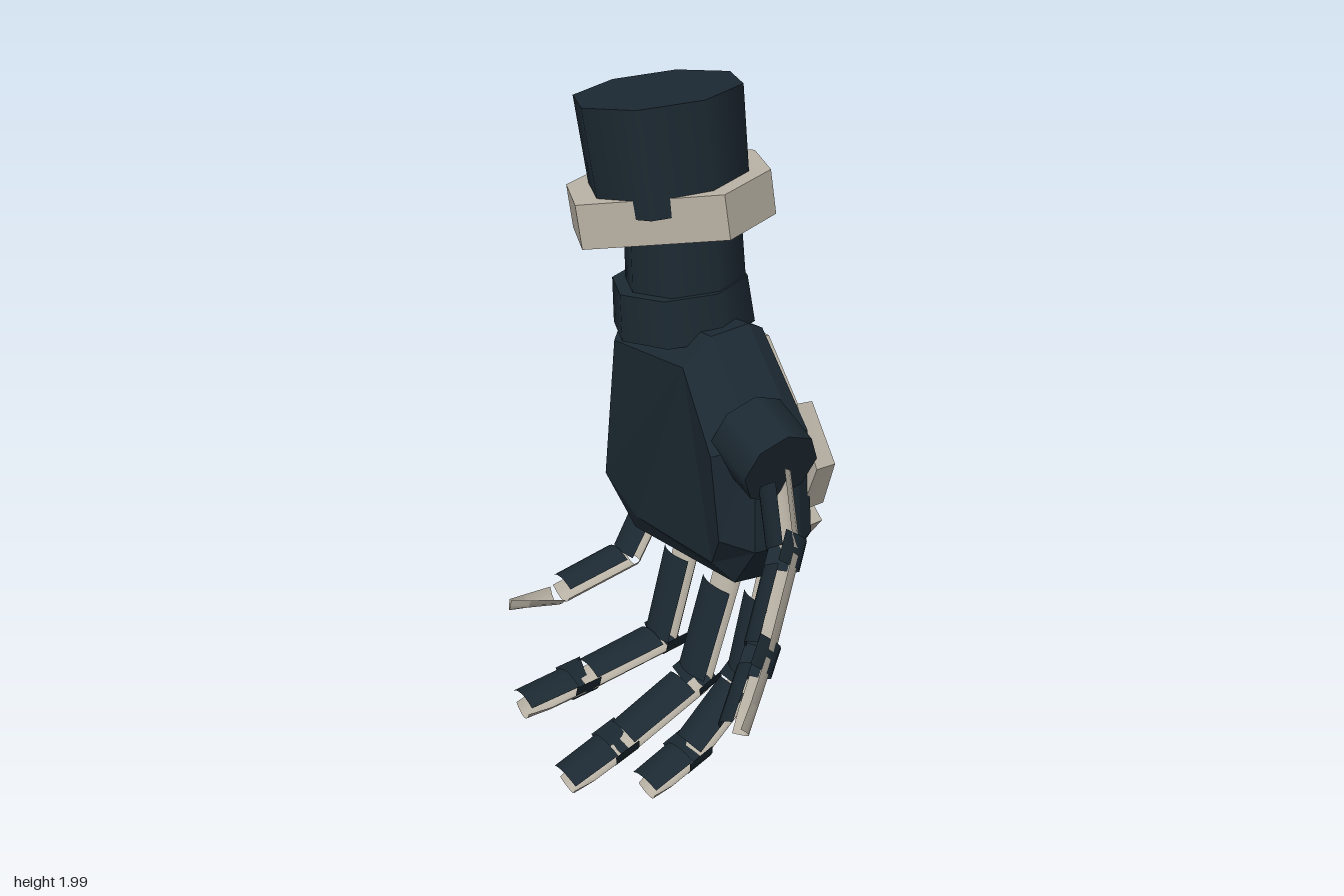
import * as THREE from 'three';

const dark = new THREE.MeshStandardMaterial({ color: 0x1c2932, side: THREE.DoubleSide });
dark.name = 'dark navy';
const bone = new THREE.MeshStandardMaterial({ color: 0xb9b2a5, side: THREE.DoubleSide });
bone.name = 'warm grey';
const V = (x, y, z) => new THREE.Vector3(x, y, z);

function add(parent, name, geometry, material) {
  const mesh = new THREE.Mesh(geometry, material);
  mesh.name = name;
  parent.add(mesh);
  return mesh;
}

function build(points, index) {
  const g = new THREE.BufferGeometry();
  g.setAttribute('position', new THREE.Float32BufferAttribute(points.flatMap(p => p.toArray()), 3));
  g.setIndex(index);
  return g;
}

// Faceted solid through loops that run clockwise seen from +x, ordered from low x to high x
function loft(loops) {
  const n = loops[0].length, idx = [];
  for (let l = 0; l < loops.length - 1; l++)
    for (let i = 0; i < n; i++) {
      const j = (i + 1) % n, a = l * n, b = a + n;
      idx.push(a + i, b + i, b + j, a + i, b + j, a + j);
    }
  const top = (loops.length - 1) * n;
  for (let i = 1; i < n - 1; i++) idx.push(0, i, i + 1, top, top + i + 1, top + i);
  const g = build(loops.flat(), idx).toNonIndexed();
  g.computeVertexNormals();
  return g;
}

// Turns a [z, y] outline into a loop, scaled about its middle, with x given by a rule of y
function loop(outline, scale, xRule) {
  const cz = outline.reduce((s, p) => s + p[0], 0) / outline.length;
  const cy = outline.reduce((s, p) => s + p[1], 0) / outline.length;
  return outline.map(([pz, py]) => {
    const y = cy + (py - cy) * scale;
    return V(xRule(y), y, cz + (pz - cz) * scale);
  });
}

// Curved strip from a to b; it bulges along the back-of-finger direction
function shell(a, b, side, w0, w1, depth, offset) {
  const d = b.clone().sub(a).normalize();
  const s = side.clone().addScaledVector(d, -side.dot(d)).normalize();
  const n = s.clone().cross(d);
  const pts = [], idx = [], steps = 6;
  for (let k = 0; k < 2; k++)
    for (let i = 0; i <= steps; i++) {
      const t = i / steps * 2 - 1;
      pts.push((k ? b : a).clone().addScaledVector(s, t * (k ? w1 : w0) / 2)
        .addScaledVector(n, offset - depth * t * t));
    }
  for (let i = 0; i < steps; i++) {
    const q = i + steps + 1;
    // the palm-side strips (depth below zero) face the other way
    if (depth > 0) idx.push(i, q + 1, i + 1, i, q, q + 1);
    else idx.push(i, i + 1, q + 1, i, q + 1, q);
  }
  const g = build(pts, idx);
  g.computeVertexNormals();
  return g;
}

// Three segments: pale back shells, dark pads and, unless bare, dark joint covers and a tip pad
function finger(parent, name, path, side, width, bare = false) {
  const group = new THREE.Group();
  group.name = name;
  parent.add(group);
  for (let i = 0; i < 3; i++) {
    const a = path[i], b = path[i + 1], last = i === 2;
    const at = t => a.clone().lerp(b, t);
    const w = width * (1 - i * 0.04);
    if (last) {
      const mid = w * (bare ? 0.4 : 0.9), end = w * (bare ? 0.1 : 0.65);
      add(group, 'tipShell', shell(at(0.04), at(0.65), side, w * 0.9, mid, 0.035, 0), bone);
      add(group, 'fingertip', shell(at(0.65), b, side, mid, end, 0.035, 0), bone);
    } else add(group, 'backShell', shell(at(0.04), at(0.94), side, w * 0.95, w * 0.9, 0.035, 0), bone);
    if (!last || !bare)
      add(group, 'pad', shell(at(0.18), at(last ? 0.97 : 0.9), side, w, w * 0.95, -0.02, -0.085), dark);
    if (i > 0 && !bare) {
      const len = a.distanceTo(b);
      add(group, 'jointCover', shell(at(-0.04 / len), at(0.045 / len), side, w * 1.1, w * 1.1, 0.08, 0.01), dark);
    }
  }
}

// Stands a part built along y on the line from a to b, centred on it
function place(mesh, a, b) {
  mesh.position.copy(a).lerp(b, 0.5);
  mesh.quaternion.setFromUnitVectors(V(0, 1, 0), b.clone().sub(a).normalize());
}

function prism(parent, name, a, b, rBottom, rTop, sides = 8) {
  place(add(parent, name, new THREE.CylinderGeometry(rTop, rBottom, a.distanceTo(b), sides), dark), a, b);
}

export function createModel() {
  const hand = new THREE.Group();
  hand.name = 'armouredHand';

  // Wrist and cuff
  prism(hand, 'wristCollar', V(0.14, 1.31, -0.255), V(0.13, 1.445, -0.262), 0.205, 0.195);
  prism(hand, 'wrist', V(0.145, 1.38, -0.25), V(0.135, 1.68, -0.26), 0.175, 0.165);
  prism(hand, 'cuff', V(0.11, 1.675, -0.277), V(0.09, 1.972, -0.308), 0.225, 0.237);

  // Cuff band: an octagon with one corner cut off, where the cuff shows through
  const corners = [180, 225, 270, 315, 360, 405, 450].map(THREE.MathUtils.degToRad);
  const bandShape = new THREE.Shape(corners.map(t => new THREE.Vector2(Math.cos(t) * 0.293, -Math.sin(t) * 0.284)));
  const bandGeo = new THREE.ExtrudeGeometry(bandShape, { depth: 0.125, bevelEnabled: false });
  bandGeo.rotateX(-Math.PI / 2).translate(0, -0.0625, 0);
  place(add(hand, 'cuffBand', bandGeo, bone), V(0.116, 1.608, -0.27), V(0.104, 1.733, -0.282));

  // Palm
  const palm = [[-0.02, 1.37], [-0.47, 1.32], [-0.605, 0.71], [-0.445, 0.575],
    [0.11, 0.64], [0.21, 0.785], [0.2, 1.12]];
  add(hand, 'palm', loft([
    loop(palm, 0.78, y => -0.02 + 0.45 * (y - 1.05) ** 2),
    loop(palm, 0.97, () => 0.08),
    loop(palm, 1, y => 0.2 + (1.36 - y) * 0.05),
    loop(palm, 0.94, y => 0.25 + (1.36 - y) * 0.05),
  ]), dark);

  // Armour plates on the back of the hand: outline, underside x and outer x
  const plates = {
    upperPlate: [[[-0.075, 1.295], [-0.42, 1.28], [-0.472, 0.92], [0.015, 0.96], [0.07, 1.105]],
      0.25, y => 0.31 + (1.29 - y) * 0.08],
    lowerPlate: [[[0.01, 0.94], [-0.482, 0.885], [-0.56, 0.79], [-0.455, 0.612], [0.055, 0.67], [0.17, 0.8]],
      0.255, y => 0.33 + (0.9 - y) * 0.08],
    thumbSidePlate: [[[0.13, 1.17], [0.025, 0.965], [0.165, 0.855], [0.23, 1.01]],
      0.26, y => 0.325 + (1 - y) * 0.08],
    outerSidePlate: [[[-0.47, 1.19], [-0.615, 0.97], [-0.59, 0.78], [-0.48, 0.92]],
      0.28, y => 0.33 + (1 - y) * 0.08],
  };
  for (const [name, [outline, under, xRule]] of Object.entries(plates))
    add(hand, name, loft([loop(outline, 1, () => under), loop(outline, 0.975, xRule)]), bone);

  // Four fingers, each a curl of [x, y] joints at its own z
  const fingers = [
    ['indexFinger', 0.14, 0.13, [[0.21, 0.64], [0.125, 0.33], [-0.09, 0.14], [-0.25, 0.08]]],
    ['middleFinger', -0.06, 0.14, [[0.21, 0.6], [0.09, 0.22], [-0.2, 0.08], [-0.38, 0.01]]],
    ['ringFinger', -0.28, 0.13, [[0.21, 0.6], [0.11, 0.235], [-0.21, 0.18], [-0.41, 0.155]]],
    ['littleFinger', -0.485, 0.115, [[0.22, 0.62], [0.11, 0.43], [-0.17, 0.37], [-0.34, 0.4]]],
  ];
  for (const [name, z, width, joints] of fingers)
    finger(hand, name, joints.map(([x, y], i) => V(x, y, z + (z > 0 ? 0.01 * i : 0))), V(0, 0, 1), width,
      name === 'littleFinger');

  // Thumb
  prism(hand, 'thumbBase', V(0.115, 1.12, 0.11), V(0.11, 1.07, 0.27), 0.12, 0.115);
  finger(hand, 'thumb', [V(0.14, 1.06, 0.265), V(0.09, 0.87, 0.39), V(-0.07, 0.65, 0.5), V(-0.2, 0.51, 0.58)],
    V(-0.24, 0.63, 0.74), 0.165);

  return hand;
}
